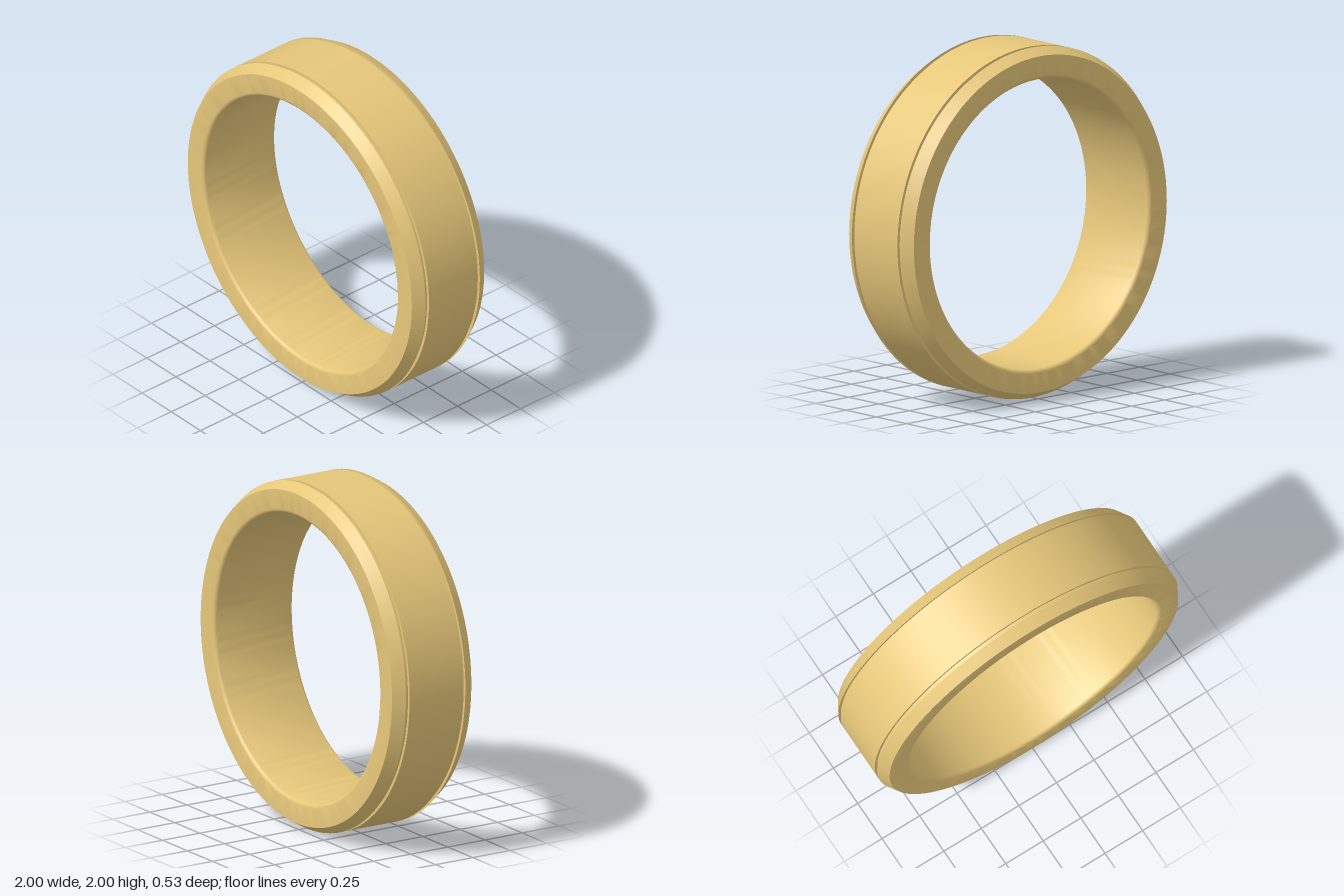
import * as THREE from 'three';
import { toCreasedNormals } from 'three/addons/utils/BufferGeometryUtils.js';

const HALF_WIDTH = 0.267;
const BORE = 0.825;
const FILLET = 0.025;

// One half of the band's cross-section as [radius, z], from mid outer face to mid bore
function halfProfile() {
  const points = [
    [1, 0.175], [0.983, 0.175],           // groove wall
    [0.983, 0.2], [1, 0.2],               // groove floor and wall
    [0.96, HALF_WIDTH],                   // outer bevel
  ];
  // Rounded inner edge
  const steps = 5;
  for (let i = 0; i <= steps; i++) {
    const a = (i / steps) * Math.PI / 2;
    points.push([
      BORE + FILLET * (1 - Math.sin(a)),
      HALF_WIDTH - FILLET * (1 - Math.cos(a)),
    ]);
  }
  return points;
}

export function createModel() {
  const group = new THREE.Group();
  group.name = 'ring';

  // Mirror the half section and close the loop
  const front = halfProfile();
  const back = front.map(([r, z]) => [r, -z]).reverse();
  const section = [...back, ...front, back[0]].map(([r, z]) => new THREE.Vector2(r, z));

  const geometry = toCreasedNormals(new THREE.LatheGeometry(section, 160), Math.PI / 6);
  geometry.rotateX(Math.PI / 2);

  const band = new THREE.Mesh(geometry, new THREE.MeshStandardMaterial({ color: 0xe6c77a }));
  band.name = 'band';
  band.position.y = 1;
  group.add(band);
  return group;
}
